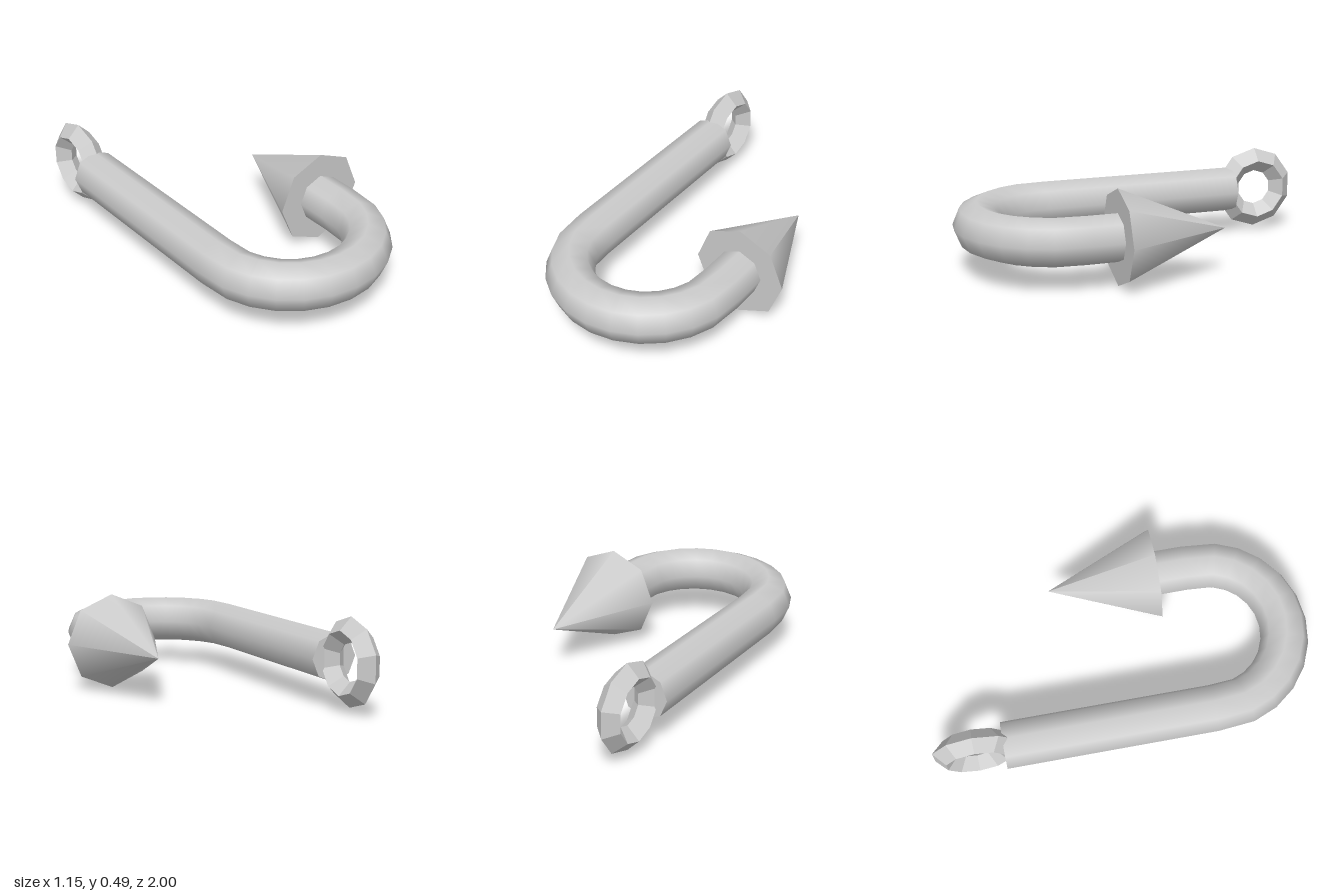
import * as THREE from 'three';

const SHANK_X = -0.452, POINT_X = 0.327, MID_Y = 0.25;
const ROD_R = 0.123, SIDES = 8;

// Curve that runs through given stations, one per tube ring
class StationCurve extends THREE.Curve {
  constructor(points, tangents) {
    super();
    this.points = points;
    this.tangents = tangents;
  }
  index(u) { return Math.round(u * (this.points.length - 1)); }
  getPointAt(u, target = new THREE.Vector3()) { return target.copy(this.points[this.index(u)]); }
  getTangentAt(u, target = new THREE.Vector3()) { return target.copy(this.tangents[this.index(u)]); }
}

function hookCurve() {
  const points = [], tangents = [];
  const add = (x, z, tx, tz) => {
    points.push(new THREE.Vector3(x, MID_Y, z));
    tangents.push(new THREE.Vector3(tx, 0, tz));
  };
  const bendX = (SHANK_X + POINT_X) / 2, bendZ = 0.485, bendR = (POINT_X - SHANK_X) / 2;
  add(SHANK_X, -0.645, 0, 1);
  add(SHANK_X, 0.43, 0, 1);
  for (let i = 1; i < 12; i++) {
    const a = i * Math.PI / 12;
    add(bendX - bendR * Math.cos(a), bendZ + bendR * Math.sin(a), Math.sin(a), Math.cos(a));
  }
  add(POINT_X, 0.43, 0, -1);
  add(POINT_X, 0.26, 0, -1);
  return new StationCurve(points, tangents);
}

export function createModel() {
  const group = new THREE.Group();
  const smooth = new THREE.MeshStandardMaterial({ color: 0xcccccc });
  const flat = new THREE.MeshStandardMaterial({ color: 0xcccccc, flatShading: true });
  const add = (name, geometry, material, x = 0, y = 0, z = 0) => {
    const mesh = new THREE.Mesh(geometry, material);
    mesh.name = name;
    mesh.position.set(x, y, z);
    group.add(mesh);
  };

  // Bent rod: long shank, half-circle bend, short arm
  const curve = hookCurve();
  add('hookRod', new THREE.TubeGeometry(curve, curve.points.length - 1, ROD_R, SIDES, false), smooth);

  // Flat end of the shank
  add('shankCap', new THREE.CircleGeometry(ROD_R, SIDES).rotateY(Math.PI), flat, SHANK_X, MID_Y, -0.645);

  // Pointed barb on the short arm
  add('barb', new THREE.ConeGeometry(0.246, 0.562, SIDES).rotateX(-Math.PI / 2), smooth, POINT_X, MID_Y, -0.009);

  // Line eye at the shank end, diamond in section
  const eye = new THREE.TorusGeometry(0.159, 0.0635, 4, 10).rotateZ(Math.PI / 2).rotateY(Math.PI / 2);
  add('eyeRing', eye, flat, SHANK_X, MID_Y, -0.788);

  return group;
}
